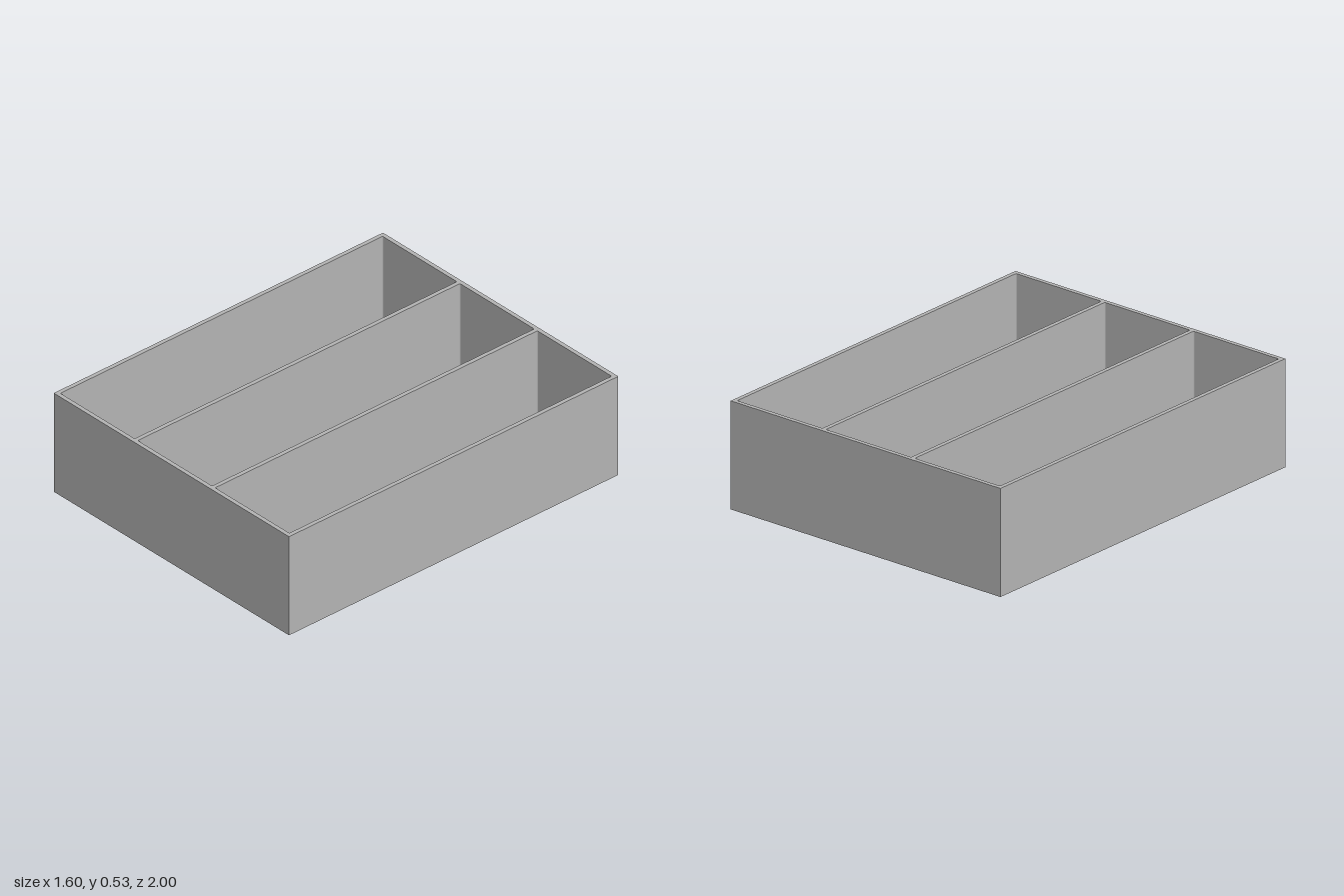
import * as THREE from 'three';

const W = 1.6, D = 2, H = 0.533; // outer size
const WALL = 0.0213, FLOOR = 0.0213; // thicknesses
const CELLS = 3, CORNER = 0.006;

// Rounded rectangle used as a compartment opening
function opening(x0, y0, x1, y1, r) {
  const p = new THREE.Path();
  p.moveTo(x0 + r, y0);
  p.lineTo(x1 - r, y0);
  p.absarc(x1 - r, y0 + r, r, -Math.PI / 2, 0);
  p.lineTo(x1, y1 - r);
  p.absarc(x1 - r, y1 - r, r, 0, Math.PI / 2);
  p.lineTo(x0 + r, y1);
  p.absarc(x0 + r, y1 - r, r, Math.PI / 2, Math.PI);
  p.lineTo(x0, y0 + r);
  p.absarc(x0 + r, y0 + r, r, Math.PI, Math.PI * 1.5);
  return p;
}

export function createModel() {
  const group = new THREE.Group();
  group.name = 'dividedTray';
  const grey = new THREE.MeshStandardMaterial({ color: 0xb3b3b3 });
  grey.name = 'grey';

  // Outer walls and dividers in one piece, with three openings
  const outline = new THREE.Shape([
    new THREE.Vector2(-W / 2, -D / 2),
    new THREE.Vector2(W / 2, -D / 2),
    new THREE.Vector2(W / 2, D / 2),
    new THREE.Vector2(-W / 2, D / 2),
  ]);
  const cell = (W - WALL * (CELLS + 1)) / CELLS;
  for (let i = 0; i < CELLS; i++) {
    const x = -W / 2 + WALL + i * (cell + WALL);
    outline.holes.push(opening(x, -D / 2 + WALL, x + cell, D / 2 - WALL, CORNER));
  }
  const wallGeometry = new THREE.ExtrudeGeometry(outline, {
    depth: H - FLOOR, bevelEnabled: false, curveSegments: 4,
  });
  wallGeometry.rotateX(-Math.PI / 2);
  const walls = new THREE.Mesh(wallGeometry, grey);
  walls.name = 'wallsAndDividers';
  walls.position.y = FLOOR;
  group.add(walls);

  // Floor slab
  const floor = new THREE.Mesh(new THREE.BoxGeometry(W, FLOOR, D), grey);
  floor.name = 'floor';
  floor.position.y = FLOOR / 2;
  group.add(floor);

  return group;
}
